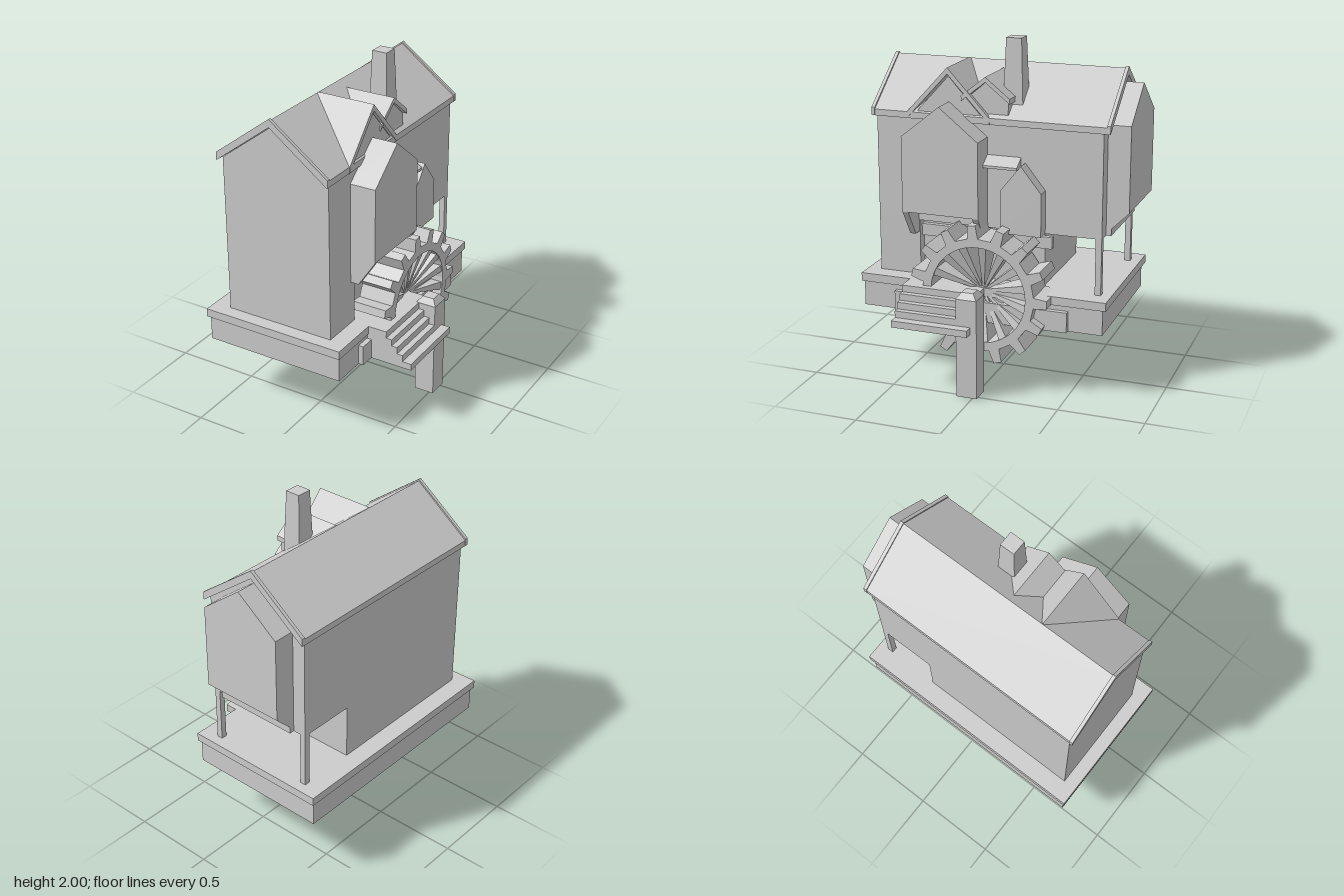
import * as THREE from 'three';

const stone = new THREE.MeshStandardMaterial({ color: 0xcccccc });
stone.name = 'plainGrey';

export function createModel() {
  const model = new THREE.Group();
  model.name = 'waterMill';

  const add = (name, geo, parent = model) => {
    const mesh = new THREE.Mesh(geo.index ? geo.toNonIndexed() : geo, stone);
    mesh.geometry.computeVertexNormals();
    mesh.name = name;
    parent.add(mesh);
    return mesh;
  };
  // Box from its minimum and maximum corners
  const box = (name, x0, x1, y0, y1, z0, z1) => {
    const g = new THREE.BoxGeometry(x1 - x0, y1 - y0, z1 - z0);
    g.translate((x0 + x1) / 2, (y0 + y1) / 2, (z0 + z1) / 2);
    return add(name, g);
  };
  const poly = (pts) => new THREE.Shape(pts.map(([a, b]) => new THREE.Vector2(a, b)));
  // Prism along z from an (x, y) outline
  const prismZ = (name, pts, z0, z1) => add(name,
    new THREE.ExtrudeGeometry(poly(pts), { depth: z1 - z0, bevelEnabled: false }).translate(0, 0, z0));
  // Prism along x from a (z, y) outline
  const prismX = (name, pts, x0, x1) => add(name,
    new THREE.ExtrudeGeometry(poly(pts.map(([z, y]) => [-z, y])), { depth: x1 - x0, bevelEnabled: false })
      .rotateY(Math.PI / 2).translate(x0, 0, 0));
  // Outline of a folded roof sheet
  const sheet = (l, r, c, eave, peak, t) =>
    [[l, eave], [c, peak], [r, eave], [r, eave - t], [c, peak - t], [l, eave - t]];
  // Outline of a gabled wall
  const gable = (l, r, bottom, eave, peak) =>
    [[l, bottom], [r, bottom], [r, eave], [(l + r) / 2, peak], [l, eave]];

  // Foundation with a projecting top slab and a plinth beside the wheel
  box('foundation', -0.57, 0.295, 0.39, 0.54, -0.69, 0.765);
  box('foundationSlab', -0.585, 0.305, 0.54, 0.59, -0.71, 0.78);
  box('wheelPlinth', 0.29, 0.325, 0.39, 0.51, -0.49, 0.56);

  // Ground floor, recessed behind the wheel and open at the back
  box('groundFloorFront', -0.475, 0.2, 0.59, 0.92, 0.445, 0.7);
  box('groundFloorBack', -0.475, 0.14, 0.59, 0.92, -0.3, 0.445);
  box('wheelBeam', 0.14, 0.17, 0.82, 0.89, -0.35, 0.445);
  for (const x of [-0.475, 0.165]) box('backPost', x, x + 0.035, 0.59, 0.92, -0.65, -0.615);

  // Upper floors up to the gable
  prismZ('upperHouse', gable(-0.475, 0.2, 0.92, 1.535, 1.79), -0.65, 0.7);

  // Main roof with raised end trims
  prismZ('mainRoof', sheet(-0.495, 0.21, -0.145, 1.56, 1.825, 0.037), -0.69, 0.73);
  for (const z of [-0.69, 0.71]) {
    prismZ('roofEndTrim', sheet(-0.497, 0.213, -0.145, 1.57, 1.835, 0.045), z, z + 0.02);
  }

  // Cross gable over the bay
  prismX('crossGableWall', gable(0.03, 0.485, 1.45, 1.53, 1.78), -0.14, 0.2);
  prismX('crossGableRoof', sheet(0.01, 0.51, 0.26, 1.56, 1.83, 0.037), -0.14, 0.213);

  // Small dormer
  prismX('dormerWall', gable(-0.095, 0.165, 1.58, 1.65, 1.76), -0.05, 0.19);
  prismX('dormerRoof', sheet(-0.11, 0.18, 0.035, 1.675, 1.79, 0.03), -0.1, 0.208);

  // Tapered chimney
  const chimney = new THREE.CylinderGeometry(0.045 * Math.SQRT2, 0.06 * Math.SQRT2, 0.42, 4);
  chimney.rotateY(Math.PI / 4).translate(0.06, 1.79, -0.097);
  add('chimney', chimney);

  // Side bay on a pair of brackets
  prismX('sideBay', gable(0.025, 0.485, 1.01, 1.45, 1.635), 0.19, 0.355);
  for (const z of [0.025, 0.45]) {
    prismZ('bayBracket', [[0.19, 0.85], [0.25, 0.85], [0.355, 1.01], [0.19, 1.01]], z, z + 0.035);
  }

  // Small bay and sloping canopy
  prismX('smallBay', gable(-0.32, -0.08, 0.92, 1.17, 1.32), 0.19, 0.28);
  prismZ('canopy', [[0.19, 1.355], [0.275, 1.305], [0.275, 1.29], [0.19, 1.29]], -0.175, 0.025);

  // Back bay: gabled outline with its lower edge sloping back to the wall
  const back = prismZ('backBay', gable(-0.395, 0.115, 0.92, 1.555, 1.75), -0.78, -0.64);
  const bp = back.geometry.attributes.position;
  for (let i = 0; i < bp.count; i++) {
    if (bp.getY(i) < 1 && bp.getZ(i) < -0.7) bp.setY(i, 1.06);
  }
  back.geometry.computeVertexNormals();
  box('backBaySill', -0.395, 0.115, 0.92, 0.96, -0.68, -0.64);

  // Landing and steps descending outward
  prismZ('steps', [[0.3, 0.39], [0.58, 0.39], [0.58, 0.43], [0.525, 0.43], [0.525, 0.47],
    [0.49, 0.47], [0.49, 0.51], [0.455, 0.51], [0.455, 0.55], [0.42, 0.55], [0.42, 0.59], [0.3, 0.59]], 0.01, 0.47);

  // Mooring post with a chamfered cap
  box('waterPost', 0.405, 0.525, 0, 0.59, -0.027, 0.097);
  const cap = new THREE.CylinderGeometry(0.035 * Math.SQRT2, 0.061 * Math.SQRT2, 0.035, 4);
  cap.rotateY(Math.PI / 4).translate(0.465, 0.6075, 0.035);
  add('waterPostCap', cap);

  // Water wheel: toothed rim and spokes that narrow toward the hub
  const wheel = new THREE.Group();
  wheel.name = 'waterWheel';
  wheel.position.set(0.275, 0.57, 0.02);
  model.add(wheel);
  const teeth = 15, width = 0.215, deg = Math.PI / 180;
  const rimPts = [];
  const polar = (r, a) => [r * Math.cos(a * deg), r * Math.sin(a * deg)];
  for (let i = 0; i < teeth; i++) {
    const a = 23 + i * 24;
    for (const [r, d] of [[0.335, -5.5], [0.412, -3.3], [0.412, 3.3], [0.335, 5.5]]) rimPts.push(polar(r, a + d));
  }
  const rim = poly(rimPts);
  const hole = [];
  for (let i = 0; i < 30; i++) hole.push(polar(0.285, -i * 12));
  rim.holes.push(poly(hole));
  add('wheelRim', new THREE.ExtrudeGeometry(rim, { depth: width, bevelEnabled: false })
    .translate(0, 0, -width / 2).rotateY(Math.PI / 2), wheel);
  for (let i = 0; i < teeth; i++) {
    const g = new THREE.BoxGeometry(width * 0.96, 0.28, 0.05).translate(0, 0.155, 0);
    const p = g.attributes.position;
    for (let k = 0; k < p.count; k++) {
      if (p.getY(k) < 0.1) p.setXYZ(k, p.getX(k) * 0.15, p.getY(k), p.getZ(k) * 0.2);
    }
    add('wheelSpoke', g.rotateX((67 - i * 24) * deg), wheel);
  }
  add('wheelHub', new THREE.CylinderGeometry(0.03, 0.03, 0.05, 10).rotateZ(Math.PI / 2), wheel);

  return model;
}
